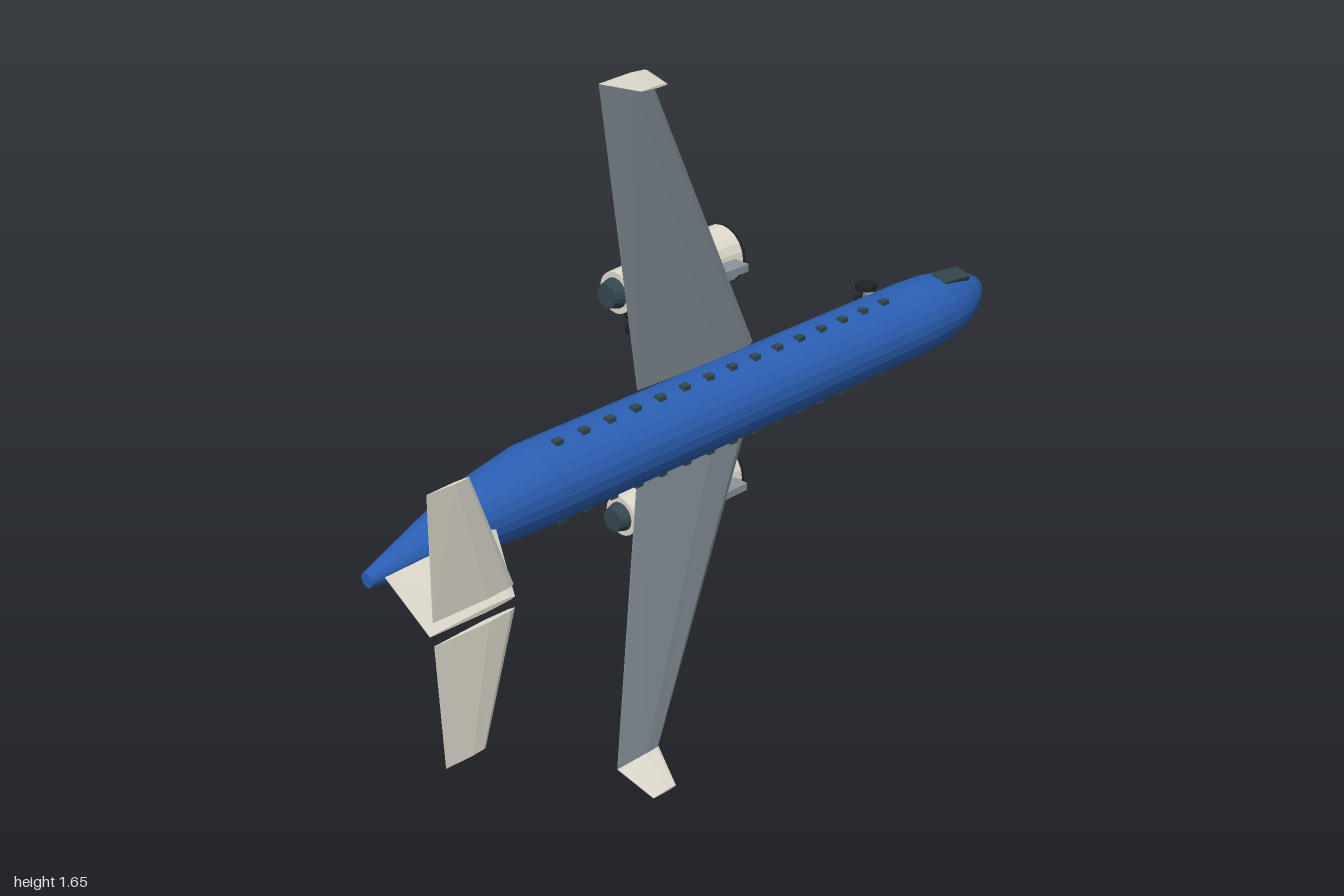
import * as THREE from 'three';

const mat = (color) => new THREE.MeshStandardMaterial({ color, flatShading: true });
const BLUE = mat(0x2b60b5), WING = mat(0x839097), CREAM = mat(0xdedacd);
const DARK = mat(0x34474f), BLACK = mat(0x1f2122), STRUT = mat(0x8a959b);

function add(parent, name, geometry, material, x = 0, y = 0, z = 0) {
  const mesh = new THREE.Mesh(geometry, material);
  mesh.name = name;
  mesh.position.set(x, y, z);
  parent.add(mesh);
  return mesh;
}

// Skins a list of equal-length closed sections and caps both ends, facing outward
function loft(sections) {
  const n = sections[0].length, pos = sections.flat(2), idx = [];
  for (let s = 0; s < sections.length - 1; s++) {
    for (let i = 0; i < n; i++) {
      const a = s * n + i, b = s * n + (i + 1) % n;
      idx.push(a, b, a + n, b, b + n, a + n);
    }
  }
  const last = (sections.length - 1) * n;
  for (let i = 1; i < n - 1; i++) idx.push(0, i + 1, i, last, last + i, last + i + 1);
  let volume = 0;
  const v = (i) => new THREE.Vector3().fromArray(pos, idx[i] * 3);
  for (let i = 0; i < idx.length; i += 3) volume += v(i).dot(v(i + 1).cross(v(i + 2)));
  if (volume < 0) idx.reverse();
  const g = new THREE.BufferGeometry();
  g.setAttribute('position', new THREE.Float32BufferAttribute(pos, 3));
  g.setIndex(idx);
  g.computeVertexNormals();
  return g;
}

// Airfoil outline: [chord fraction from the leading edge, thickness fraction]
const FOIL = [[0, 0], [0.06, 0.3], [0.35, 0.5], [1, 0.06], [1, -0.06], [0.35, -0.5], [0.06, -0.3]];

// Airfoil section; thickness runs along y when upright, otherwise along z
const foil = (lead, trail, y, z, thick, upright = false) => FOIL.map(([c, t]) => {
  const x = lead + (trail - lead) * c;
  return upright ? [x, y + t * thick, z] : [x, y, z + t * thick];
});

// Circular section of the fuselage
const ring = ([x, z, r]) => Array.from({ length: 24 }, (_, i) => {
  const a = (i / 24) * Math.PI * 2;
  return [x, r * Math.cos(a), z + r * Math.sin(a)];
});

// Cylinder lying along x, its first radius at the nose end
function axial(front, rear, length, sides) {
  return new THREE.CylinderGeometry(front, rear, length, sides).rotateZ(-Math.PI / 2);
}

// Strut with a pair of wheels on an axle
function landingGear(name, x, y, top) {
  const gear = new THREE.Group();
  gear.name = name;
  const hub = -0.238;
  add(gear, 'gearStrut', new THREE.CylinderGeometry(0.008, 0.008, top - hub, 10).rotateX(Math.PI / 2),
    STRUT, 0, 0, (top + hub) / 2);
  add(gear, 'axle', new THREE.CylinderGeometry(0.006, 0.006, 0.04, 8), STRUT, 0, 0, hub);
  for (const s of [-1, 1]) {
    add(gear, 'wheel', new THREE.CylinderGeometry(0.027, 0.027, 0.014, 16), BLACK, 0, s * 0.018, hub);
  }
  gear.position.set(x, y, 0);
  return gear;
}

// Everything that repeats on both sides, built for +y
function buildSide(name) {
  const side = new THREE.Group();
  side.name = name;

  add(side, 'wing', loft([
    foil(0.22, -0.14, 0.078, -0.111, 0.026),
    foil(-0.16, -0.29, 0.81, -0.042, 0.013),
  ]), WING);
  add(side, 'winglet', loft([
    foil(-0.16, -0.29, 0.81, -0.042, 0.01, true),
    foil(-0.225, -0.295, 0.823, 0.083, 0.005, true),
  ]), CREAM);
  add(side, 'tailplane', loft([
    foil(-0.8, -0.99, 0.025, 0.253, 0.012),
    foil(-0.895, -0.99, 0.29, 0.262, 0.007),
  ]), CREAM);

  // Engine under the wing
  const engine = new THREE.Group();
  engine.name = 'engine';
  engine.position.set(0, 0.275, -0.197);
  add(engine, 'nacelle', axial(0.067, 0.048, 0.33, 20), CREAM, 0.045);
  add(engine, 'intake', axial(0.067, 0.067, 0.008, 20), BLACK, 0.211);
  add(engine, 'nozzle', axial(0.036, 0.028, 0.03, 16), DARK, -0.132);
  add(engine, 'pylon', new THREE.BoxGeometry(0.25, 0.018, 0.06), STRUT, 0.06, 0, 0.075);
  side.add(engine);

  side.add(landingGear('mainGear', -0.02, 0.165, -0.11));

  // Row of cabin windows
  for (let i = 0; i < 15; i++) {
    add(side, 'window', new THREE.BoxGeometry(0.02, 0.012, 0.018), DARK, -0.44 + i * 0.073, 0.09, -0.031);
  }
  return side;
}

export function createModel() {
  const model = new THREE.Group();
  model.name = 'airliner';
  const plane = new THREE.Group();
  plane.name = 'airframe';
  plane.position.y = 0.827;
  model.add(plane);

  // Fuselage sections: x, centre height, radius
  add(plane, 'fuselage', loft([
    [-0.96, 0.012, 0.016], [-0.8, -0.016, 0.049], [-0.66, -0.04, 0.075], [-0.5, -0.055, 0.092],
    [0.72, -0.055, 0.092], [0.8, -0.056, 0.087], [0.87, -0.059, 0.075], [0.93, -0.064, 0.056],
    [0.975, -0.069, 0.032], [0.993, -0.072, 0.014], [1, -0.073, 0.003],
  ].map(ring)), BLUE);

  // Upright tail fin
  add(plane, 'tailFin', loft([
    foil(-0.65, -0.925, 0, 0.015, 0.02, true),
    foil(-0.8, -1, 0, 0.255, 0.01, true),
  ]), CREAM);

  // Cockpit pane
  const pane = add(plane, 'cockpitPane', new THREE.BoxGeometry(0.1, 0.012, 0.045), DARK, 0.845, 0.077, -0.038);
  pane.rotation.set(0.3, 0, -0.14);

  plane.add(landingGear('noseGear', 0.76, 0, -0.13));

  const left = buildSide('upperSide');
  const right = buildSide('lowerSide');
  right.scale.y = -1;
  plane.add(left, right);
  return model;
}
